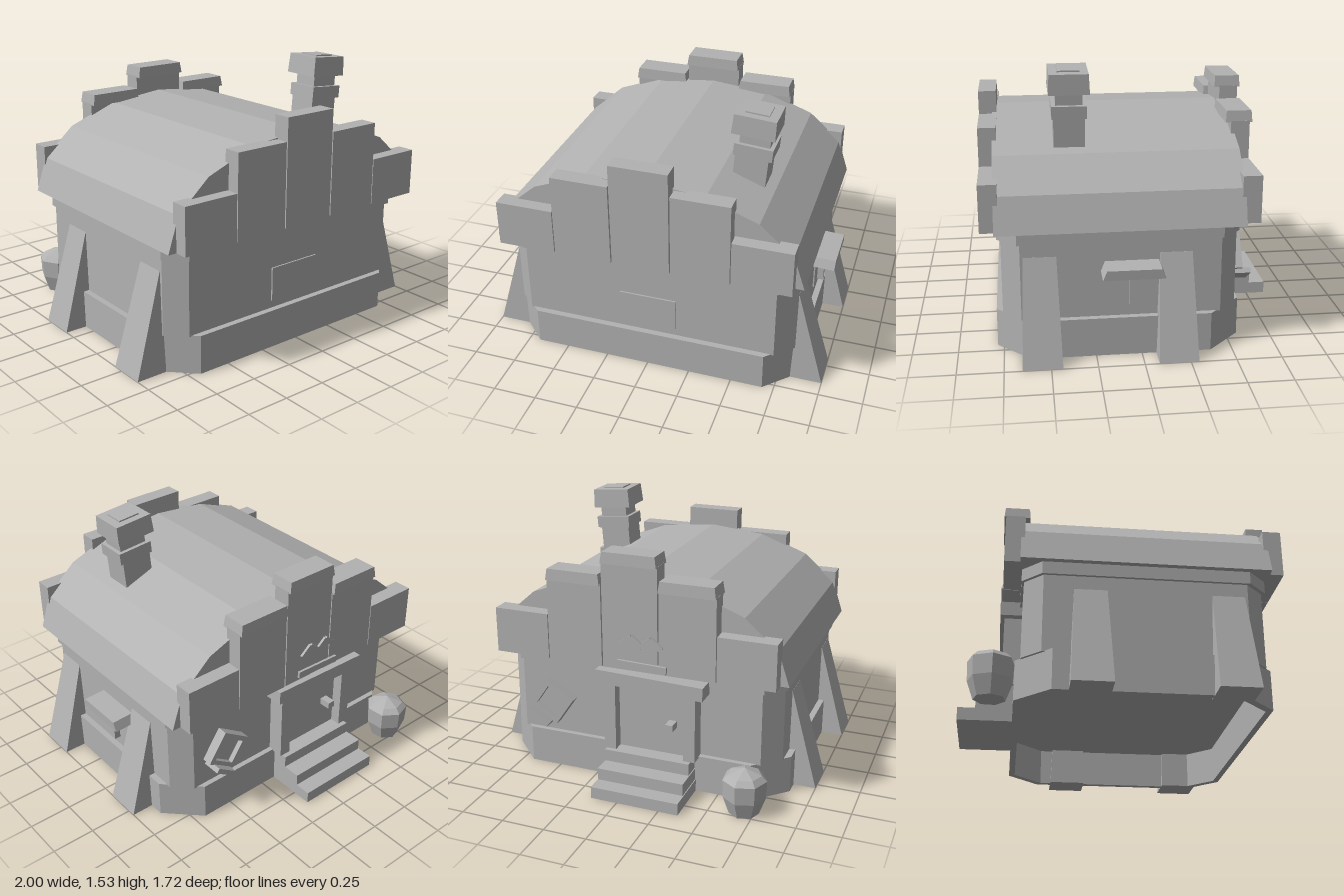
import * as THREE from 'three';

export function createModel() {
  const root = new THREE.Group();
  const stone = new THREE.MeshStandardMaterial({ color: 0xb2b2b2, flatShading: true, side: THREE.DoubleSide });
  stone.name = 'grey stone';

  function add(name, geo, x = 0, y = 0, z = 0, parent = root) {
    const mesh = new THREE.Mesh(geo, stone);
    mesh.name = name;
    mesh.position.set(x, y, z);
    parent.add(mesh);
    return mesh;
  }
  // box given by its limits
  function box(name, x0, x1, y0, y1, z0, z1, parent = root) {
    return add(name, new THREE.BoxGeometry(x1 - x0, y1 - y0, z1 - z0),
      (x0 + x1) / 2, (y0 + y1) / 2, (z0 + z1) / 2, parent);
  }
  // box whose top is scaled in x and z
  function taper(w, h, d, sx, sz) {
    const g = new THREE.BoxGeometry(w, h, d), p = g.attributes.position;
    for (let i = 0; i < p.count; i++) {
      if (p.getY(i) > 0) p.setXYZ(i, p.getX(i) * sx, p.getY(i), p.getZ(i) * sz);
    }
    g.computeVertexNormals();
    return g;
  }
  // rectangle with cut corners, seen from above
  function outline(hx, z0, z1, c) {
    return [[-hx, z0 + c], [-hx + c, z0], [hx - c, z0], [hx, z0 + c],
      [hx, z1 - c], [hx - c, z1], [-hx + c, z1], [-hx, z1 - c]]
      .map(([x, z]) => new THREE.Vector2(x, -z));
  }
  function prism(name, points, y0, y1, hole) {
    const shape = new THREE.Shape(points);
    if (hole) shape.holes.push(new THREE.Path(hole));
    const g = new THREE.ExtrudeGeometry(shape, { depth: y1 - y0, bevelEnabled: false });
    g.rotateX(-Math.PI / 2);
    add(name, g, 0, y0, 0);
  }

  // hollow plinth, walls and cornice
  const wall = outline(0.835, -0.535, 0.75, 0.1);
  prism('plinth', outline(0.87, -0.565, 0.785, 0.185), 0, 0.22, outline(0.83, -0.53, 0.75, 0.17));
  prism('walls', wall, 0.215, 0.72);
  prism('cornice', outline(0.852, -0.548, 0.77, 0.105), 0.65, 0.722);

  // faceted barrel roof
  const half = [[0.885, 0.72], [0.82, 0.915], [0.63, 1.08], [0.34, 1.19]];
  const arch = [...half, [0, 1.225], ...half.map(([x, y]) => [-x, y]).reverse()];
  const roof = new THREE.ExtrudeGeometry(
    new THREE.Shape(arch.map(([x, y]) => new THREE.Vector2(x, y))), { depth: 1.34, bevelEnabled: false });
  add('roof', roof, 0, 0, -0.56);

  // stepped gables; the rear one carries coping stones
  const steps = [[-0.835, -0.505, 0.985], [-0.5, -0.172, 1.2], [-0.165, 0.163, 1.33], [0.17, 0.498, 1.2], [0.503, 0.835, 0.985]];
  steps.forEach(([x0, x1, top], i) => {
    box('frontGableBlock', x0, x1, 0.72, top, 0.755, 0.855);
    box('rearGableBlock', x0, x1, 0.72, top, -0.645, -0.54);
    if (i > 0 && i < 4) {
      add('rearCoping', taper(x1 - x0, 0.065, 0.15, 0.94, 0.93), (x0 + x1) / 2, top + 0.025, -0.585);
    }
  });
  box('frontPlate', -0.165, 0.165, 0.265, 0.46, 0.75, 0.759);

  // sloping buttresses
  for (const side of [-1, 1]) {
    for (const z of [0.545, -0.187]) {
      const g = new THREE.BoxGeometry(0.2, 0.575, 0.215), p = g.attributes.position;
      for (let i = 0; i < p.count; i++) {
        if (p.getY(i) < 0) continue;
        p.setZ(i, p.getZ(i) * 0.82);
        if (p.getX(i) * side > 0) p.setX(i, -0.064 * side);
      }
      g.computeVertexNormals();
      add('buttress', g, side * 0.9, 0.2875, z);
    }
  }

  // side window with awning
  box('windowPane', 0.83, 0.843, 0.3, 0.465, -0.06, 0.17);
  box('windowMullion', 0.835, 0.88, 0.29, 0.478, 0.04, 0.068);
  const awning = add('awning', taper(0.13, 0.055, 0.335, 1, 0.87), 0.897, 0.507, 0.053);
  awning.rotation.z = -0.05;

  // leaning chimney
  const chimney = new THREE.Group();
  chimney.name = 'chimney';
  chimney.position.set(0.483, 1.1, 0.363);
  chimney.rotation.z = -0.08;
  root.add(chimney);
  add('chimneyShaft', new THREE.BoxGeometry(0.185, 0.26, 0.17), 0, 0.06, 0, chimney);
  add('chimneyRing', new THREE.BoxGeometry(0.215, 0.07, 0.19), 0.005, 0.208, 0, chimney);
  add('chimneyNeck', new THREE.BoxGeometry(0.17, 0.12, 0.145), 0.005, 0.28, 0, chimney);
  add('chimneyCap', taper(0.24, 0.112, 0.222, 0.96, 0.95), -0.003, 0.362, 0, chimney);
  add('chimneyMouth', new THREE.BoxGeometry(0.13, 0.012, 0.12), -0.003, 0.42, 0, chimney);

  // rear steps
  [-0.86, -0.765, -0.66].forEach((z, i) =>
    box('doorStep', -0.365 + i * 0.005, 0.157, i * 0.07, (i + 1) * 0.07, z, -0.53));

  // rear door
  box('door', -0.32, 0.11, 0.21, 0.61, -0.57, -0.53);
  box('doorPost', 0.1, 0.17, 0.21, 0.62, -0.632, -0.53);
  box('doorPost', -0.38, -0.31, 0.21, 0.62, -0.632, -0.53);
  const lintel = box('doorLintel', -0.43, 0.21, 0.61, 0.69, -0.655, -0.53);
  lintel.rotation.z = 0.03;
  box('doorHandle', -0.25, -0.205, 0.38, 0.42, -0.64, -0.56);
  const ledge = box('gableLedge', -0.22, 0.07, 0.735, 0.775, -0.66, -0.63);
  ledge.rotation.z = 0.03;

  // zigzag ornament above the door
  for (let i = 0; i < 4; i++) {
    const bar = add('zigzagBar', new THREE.BoxGeometry(0.085, 0.032, 0.02), 0.015 - i * 0.058, 0.895, -0.65);
    bar.rotation.z = i % 2 ? 0.7 : -0.7;
  }

  // tilted rear hatch
  const hatch = new THREE.Group();
  hatch.name = 'rearHatch';
  hatch.position.set(0.53, 0.42, -0.535);
  hatch.rotation.z = 0.6;
  root.add(hatch);
  box('hatchPane', -0.08, 0.08, -0.08, 0.08, -0.03, 0, hatch);
  for (let i = 0; i < 4; i++) {
    const bar = new THREE.Group();
    bar.name = 'hatchFrame';
    bar.rotation.z = i * Math.PI / 2;
    hatch.add(bar);
    box('frameBar', -0.1, 0.07, 0.07, 0.1, -0.06, 0, bar);
  }
  box('hatchSill', -0.07, 0.07, -0.125, -0.095, -0.11, 0, hatch);

  // faceted pot beside the steps
  const pot = new THREE.LatheGeometry(
    [[0, 0], [0.085, 0], [0.12, 0.1], [0.125, 0.205], [0.095, 0.235], [0, 0.272]]
      .map(([r, y]) => new THREE.Vector2(r, y)), 7);
  add('pot', pot, -0.69, 0, -0.685).rotation.y = 0.3;

  return root;
}
